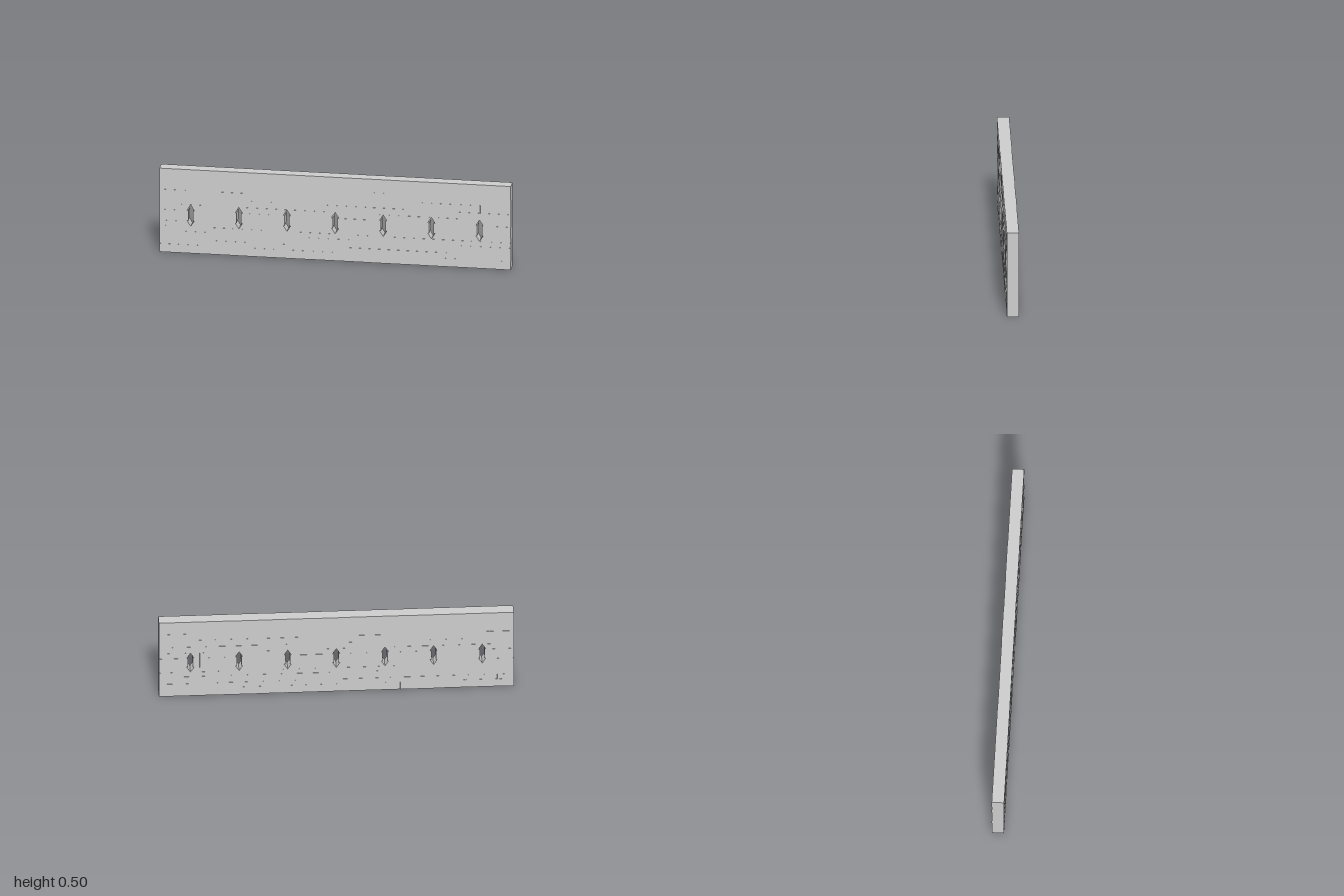
import * as THREE from 'three';
import { mergeGeometries } from 'three/addons/utils/BufferGeometryUtils.js';

const SLIT_PITCH = 0.274, SLIT_Y = 0.225;

function seeded(seed) {
  return () => {
    seed = (seed * 16807) % 2147483647;
    return seed / 2147483647;
  };
}

// Double-headed arrow outline of one slit
function slitPath(x) {
  const half = [[-0.013, 0.03], [-0.021, 0.03], [0, 0.064], [0.021, 0.03], [0.013, 0.03]];
  const pts = [...half, ...half.map(([a, b]) => [-a, -b])];
  return new THREE.Path(pts.map(([a, b]) => new THREE.Vector2(x + a, SLIT_Y + b)));
}

// One stone running through the wall, with its own front and back depth
function stone(x0, x1, y0, y1, back, front, slitX) {
  const shape = new THREE.Shape([
    new THREE.Vector2(x0, y0), new THREE.Vector2(x1, y0),
    new THREE.Vector2(x1, y1), new THREE.Vector2(x0, y1),
  ]);
  if (slitX !== undefined) shape.holes.push(slitPath(slitX));
  return new THREE.ExtrudeGeometry(shape, { depth: front + back, bevelEnabled: false })
    .translate(0, 0, -back);
}

export function createModel() {
  const wall = new THREE.Group();
  wall.name = 'stoneWall';
  const rand = seeded(4711);
  const depth = () => 0.0325 + 0.0025 * rand();
  const material = new THREE.MeshStandardMaterial({ color: 0xcccccc, flatShading: true });

  const addPart = (name, stones) => {
    const mesh = new THREE.Mesh(mergeGeometries(stones), material);
    mesh.name = name;
    wall.add(mesh);
  };

  // Stones between a list of joints along x
  const course = (y0, y1, joints, edge) => joints.slice(1).map((x, i) =>
    stone(joints[i], x, y0, y1, edge ?? depth(), edge ?? depth()));

  // Irregular joints from one x to another
  const randomJoints = (from, to) => {
    const joints = [from];
    let x = from + 0.08 + 0.12 * rand();
    while (x < to - 0.06) {
      joints.push(x);
      x += 0.07 + 0.17 * rand();
    }
    return [...joints, to];
  };

  // Plain courses below and above the slits
  const plain = [0, 0.05, 0.083, 0.13, 0.16];
  const upper = [0.29, 0.33, 0.375, 0.42];
  for (const [name, levels] of [['lowerCourse', plain], ['upperCourse', upper]]) {
    for (let i = 0; i < levels.length - 1; i++) {
      addPart(name + (i + 1), course(levels[i], levels[i + 1], randomJoints(-1, 1)));
    }
  }

  // Middle band: pierced stones around the slits, small courses between them
  const band = [], pierced = [];
  let left = -1;
  for (let i = -3; i <= 3; i++) {
    const x = i * SLIT_PITCH;
    const x0 = x - 0.045 - 0.03 * rand(), x1 = x + 0.045 + 0.03 * rand();
    pierced.push(stone(x0, x1, 0.16, 0.29, depth(), depth(), x));
    const levels = [0.16, 0.19, 0.255, 0.29];
    for (let k = 0; k < 3; k++) {
      band.push(...course(levels[k], levels[k + 1], [left, x0], depth()));
      if (i === 3) band.push(...course(levels[k], levels[k + 1], [x1, 1], depth()));
    }
    left = x1;
  }
  addPart('slitStones', pierced);
  addPart('middleCourses', band);

  // Coping along the top
  const coping = [-1, -0.41, -0.05, 0.15, 0.36, 0.57, 1];
  addPart('coping', coping.slice(1).map((x, i) =>
    stone(coping[i], x, 0.42, 0.5, i % 2 ? 0.034 : 0.035, i % 2 ? 0.0345 : 0.035)));

  return wall;
}
